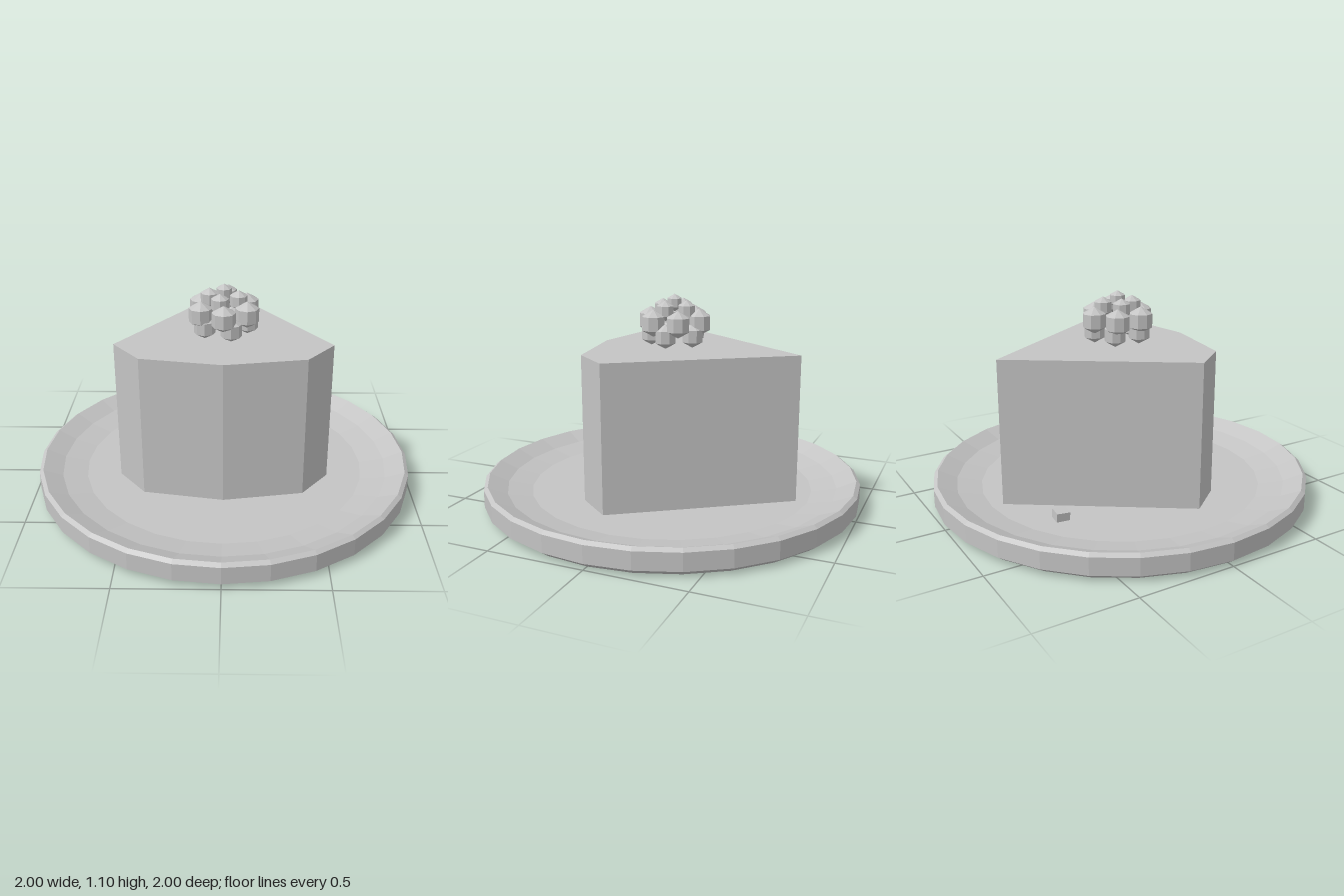
import * as THREE from 'three';

const FLOOR = 0.065; // height of the plate's inner floor
const CAKE_TOP = 0.825;

const grey = new THREE.MeshStandardMaterial({ color: 0xc4c4c4, flatShading: true });
grey.name = 'plain grey';

function addMesh(parent, name, geometry, x = 0, y = 0, z = 0) {
  const mesh = new THREE.Mesh(geometry, grey);
  mesh.name = name;
  mesh.position.set(x, y, z);
  parent.add(mesh);
  return mesh;
}

export function createModel() {
  const model = new THREE.Group();
  model.name = 'cakeSliceOnPlate';

  // Shallow dish with a bevelled rim
  const profile = [
    [0, 0], [0.96, 0], [1, 0.03], [1, 0.12], [0.98, 0.135],
    [0.88, 0.09], [0.75, FLOOR], [0, FLOOR],
  ].map(([r, y]) => new THREE.Vector2(r, y));
  addMesh(model, 'plate', new THREE.LatheGeometry(profile, 28));

  // Wedge with its tip at the back and a faceted outer edge at the front
  const half = [[0.555, 0.133], [0.412, 0.312]];
  const outline = [
    [0, -0.69],
    ...half.map(([x, z]) => [-x, z]),
    [0, 0.382],
    ...half.slice().reverse(),
  ];
  const shape = new THREE.Shape(outline.map(([x, z]) => new THREE.Vector2(x, -z)));
  const wedge = new THREE.ExtrudeGeometry(shape, { depth: CAKE_TOP - FLOOR, bevelEnabled: false });
  wedge.rotateX(-Math.PI / 2);
  addMesh(model, 'cakeSlice', wedge, 0, FLOOR, 0);

  // Berry made of stacked rings of low-poly beads
  const berry = new THREE.Group();
  berry.name = 'berry';
  berry.position.z = -0.015;
  model.add(berry);
  const rings = [
    { count: 5, ring: 0.12, y: 0.892, size: 0.063, turn: 0 },
    { count: 6, ring: 0.135, y: 0.956, size: 0.07, turn: Math.PI / 6 },
    { count: 4, ring: 0.077, y: 1.016, size: 0.052, turn: 0.26 },
    { count: 1, ring: 0, y: 1.051, size: 0.045, turn: 0 },
  ];
  for (const { count, ring, y, size, turn } of rings) {
    const bead = new THREE.SphereGeometry(size, 8, 3);
    for (let i = 0; i < count; i++) {
      const a = turn + (i / count) * Math.PI * 2;
      addMesh(berry, 'berryBead', bead, Math.cos(a) * ring, y, Math.sin(a) * ring);
    }
  }

  // Small crumb on the plate behind the slice
  const crumb = addMesh(model, 'crumb', new THREE.BoxGeometry(0.068, 0.045, 0.068), -0.295, FLOOR + 0.022, -0.51);
  crumb.rotation.set(0.05, -0.1, 0.05);

  return model;
}
